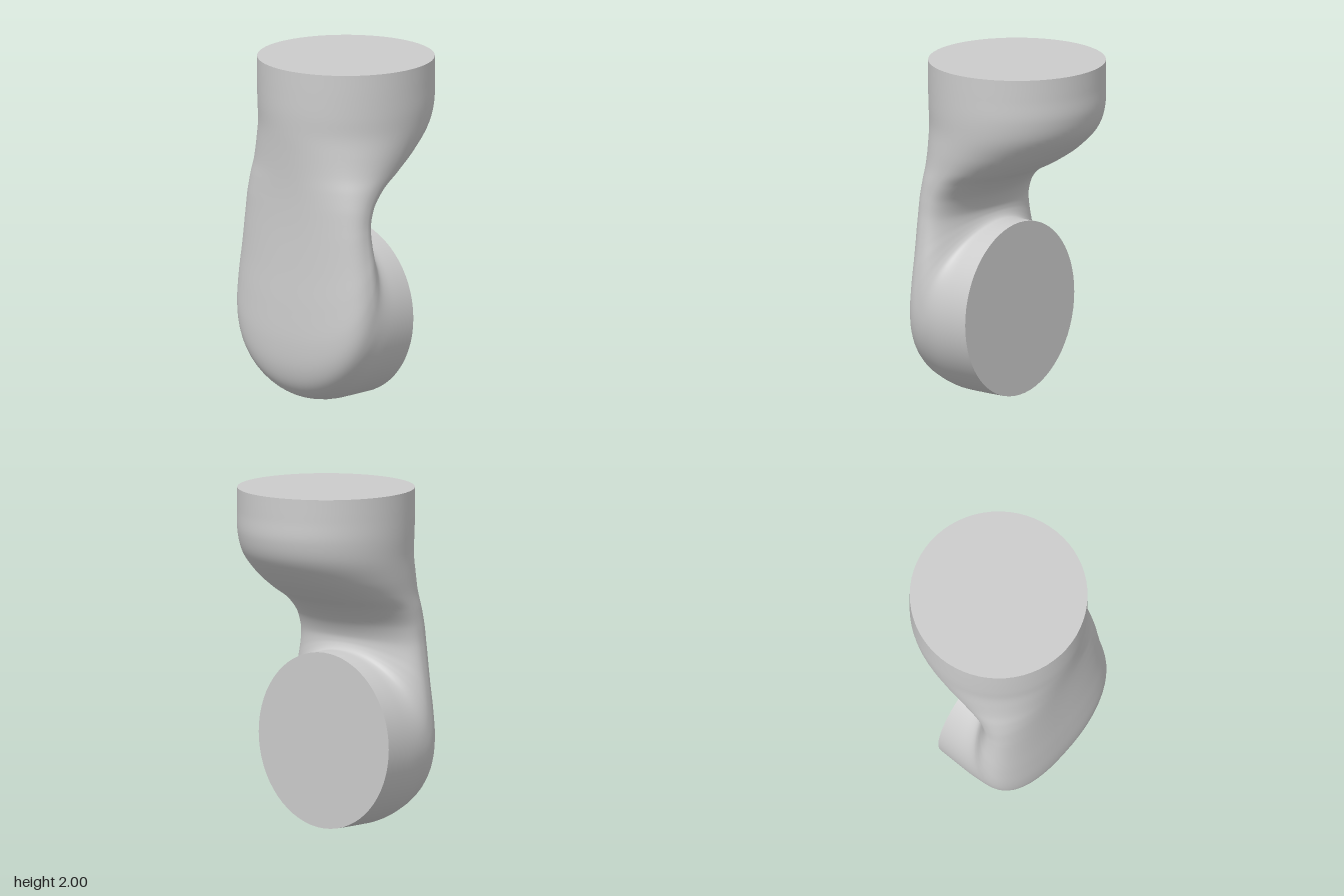
import * as THREE from 'three';

const R = 0.515, SIDES = 64, STEPS = 120;

// Stations from the upper opening to the rear opening:
// [inner z, inner y, outer z, outer y, half width, squareness of outer half]
const STATIONS = [
  [-0.515, 2.00, 0.515, 2.00, 0.515, 2],
  [-0.515, 1.87, 0.515, 1.87, 0.515, 2],
  [-0.513, 1.74, 0.513, 1.74, 0.513, 2],
  [-0.470, 1.62, 0.506, 1.62, 0.504, 2],
  [-0.340, 1.49, 0.497, 1.50, 0.490, 2.1],
  [-0.180, 1.385, 0.490, 1.39, 0.474, 2.2],
  [-0.020, 1.30, 0.486, 1.30, 0.464, 2.3],
  [0.095, 1.20, 0.484, 1.19, 0.458, 2.4],
  [0.140, 1.115, 0.486, 1.02, 0.462, 2.5],
  [0.142, 1.08, 0.495, 0.80, 0.478, 2.5],
  [0.136, 1.06, 0.508, 0.58, 0.497, 2.5],
  [0.127, 1.045, 0.515, 0.37, 0.510, 2.5],
  [0.119, 1.037, 0.500, 0.21, 0.515, 2.35],
  [0.112, 1.033, 0.450, 0.095, 0.515, 2.15],
  [0.104, 1.031, 0.370, 0.033, 0.515, 2],
  [0.092, 1.03, 0.270, 0.006, 0.515, 2],
  [0.040, 1.03, 0.120, 0.00, 0.515, 2],
  [-0.020, 1.03, -0.020, 0.00, 0.515, 2],
];

// Smooth skin lofted through the stations
function loftGeometry() {
  const inner = new THREE.CatmullRomCurve3(STATIONS.map(s => new THREE.Vector3(s[4], s[1], s[0])));
  const outer = new THREE.CatmullRomCurve3(STATIONS.map(s => new THREE.Vector3(s[5], s[3], s[2])));
  const positions = [], index = [];
  for (let j = 0; j <= STEPS; j++) {
    const p = inner.getPoint(j / STEPS), q = outer.getPoint(j / STEPS);
    for (let i = 0; i < SIDES; i++) {
      const a = (i / SIDES) * Math.PI * 2, c = Math.cos(a), s = Math.sin(a);
      const e = s > 0 ? 2 / q.x : 1;
      const across = Math.sign(c) * Math.pow(Math.abs(c), e);
      const k = 0.5 + 0.5 * Math.sign(s) * Math.pow(Math.abs(s), e);
      positions.push(p.x * across, p.y + (q.y - p.y) * k, p.z + (q.z - p.z) * k);
      if (j < STEPS) {
        const n = (i + 1) % SIDES, r0 = j * SIDES, r1 = r0 + SIDES;
        index.push(r0 + i, r0 + n, r1 + i, r0 + n, r1 + n, r1 + i);
      }
    }
  }
  const g = new THREE.BufferGeometry();
  g.setAttribute('position', new THREE.Float32BufferAttribute(positions, 3));
  g.setIndex(index);
  g.computeVertexNormals();
  return g;
}

export function createModel() {
  const group = new THREE.Group();
  group.name = 'elbowJoint';
  const material = new THREE.MeshStandardMaterial({ color: 0xcccccc });
  const add = (name, geometry) => {
    const mesh = new THREE.Mesh(geometry, material);
    mesh.name = name;
    group.add(mesh);
    return mesh;
  };

  add('bentBody', loftGeometry());

  // Flat round end faces
  const top = add('topFace', new THREE.CircleGeometry(R, SIDES));
  top.rotation.x = -Math.PI / 2;
  top.position.y = 2;
  const rear = add('rearFace', new THREE.CircleGeometry(R, SIDES));
  rear.rotation.y = Math.PI;
  rear.position.set(0, R, -0.02);

  return group;
}
